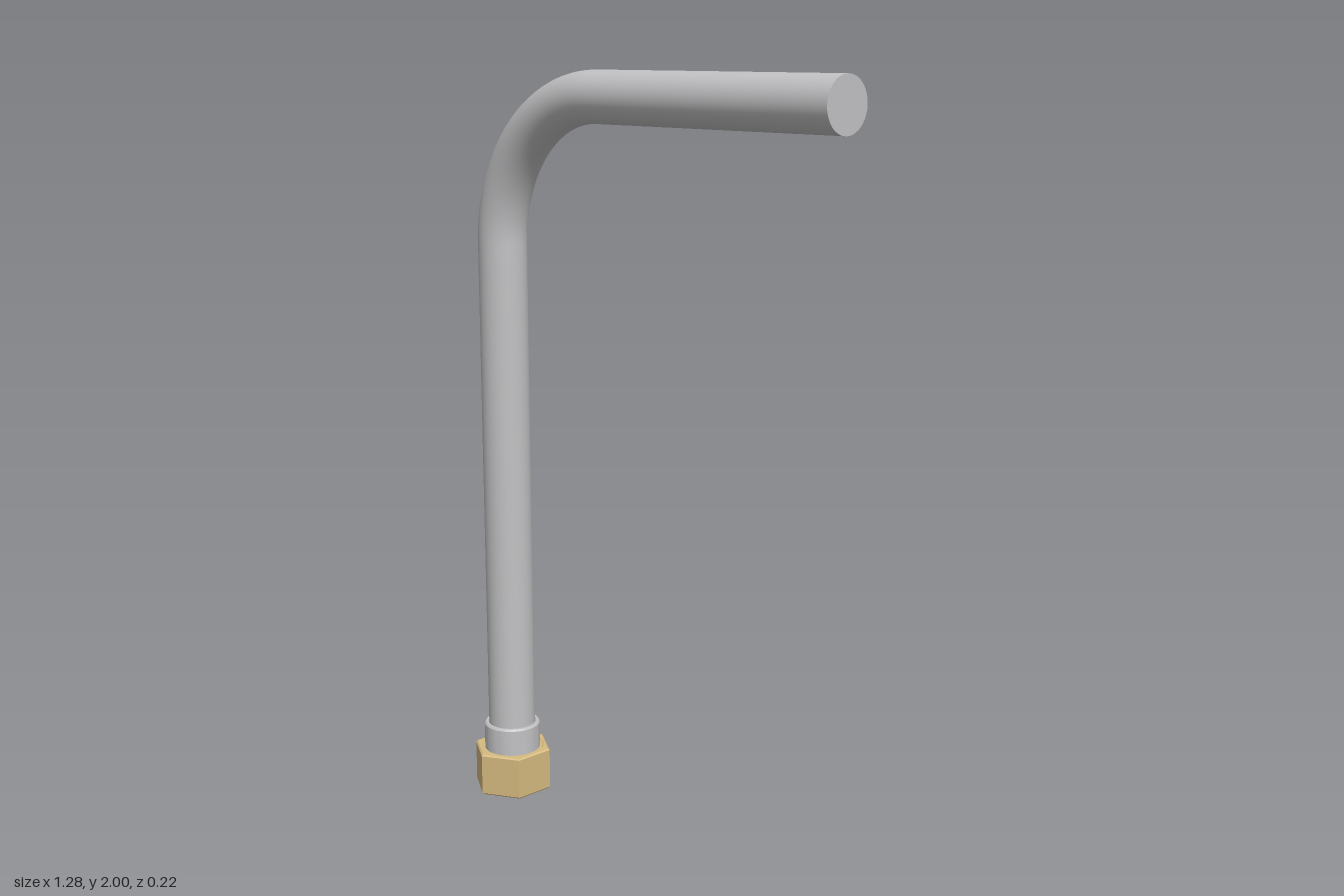
import * as THREE from 'three';
import { toCreasedNormals } from 'three/addons/utils/BufferGeometryUtils.js';

export function createModel() {
  const steel = new THREE.MeshStandardMaterial({ color: 0xc2c2c4 });
  steel.name = 'steel';
  const brass = new THREE.MeshStandardMaterial({ color: 0xd6ba80 });
  brass.name = 'brass';
  const brassInside = brass.clone();
  brassInside.name = 'brassInside';
  brassInside.side = THREE.DoubleSide;

  const model = new THREE.Group();
  model.name = 'bentPipe';
  const add = (parent, name, geometry, material) => {
    const mesh = new THREE.Mesh(geometry, material);
    mesh.name = name;
    parent.add(mesh);
    return mesh;
  };
  const lathe = (points, sides = 48) => toCreasedNormals(
    new THREE.LatheGeometry(points.map(([r, y]) => new THREE.Vector2(r, y)), sides), 0.5);

  // Everything is built around the upright axis; the arm swings slightly forward
  const fitting = new THREE.Group();
  fitting.name = 'fitting';
  fitting.position.x = -0.545;
  model.add(fitting);

  const r = 0.065, bend = 0.385, armY = 1.935, bendY = armY - bend, armEnd = 1.185;
  const pipe = new THREE.Group();
  pipe.name = 'pipe';
  pipe.rotation.y = -0.01;
  fitting.add(pipe);

  // Upright, quarter bend and horizontal arm
  const low = 0.1;
  add(pipe, 'upright', new THREE.CylinderGeometry(r, r, bendY - low, 40, 1, true), steel)
    .position.y = (bendY + low) / 2;
  const elbow = add(pipe, 'elbow', new THREE.TorusGeometry(bend, r, 40, 32, Math.PI / 2), steel);
  elbow.rotation.z = Math.PI / 2;
  elbow.position.set(bend, bendY, 0);
  const arm = add(pipe, 'arm', new THREE.CylinderGeometry(r, r, armEnd - bend, 40), steel);
  arm.rotation.z = -Math.PI / 2;
  arm.position.set((armEnd + bend) / 2, armY, 0);

  // Collar sleeve between pipe and nut
  add(fitting, 'collar', lathe([
    [0, 0.09], [0.078, 0.09], [0.078, 0.19], [0.074, 0.195], [0.067, 0.195], [0.064, 0.188],
  ]), steel);

  // Hexagonal nut with a bored centre
  const hex = new THREE.Shape();
  for (let i = 0; i < 6; i++) {
    const a = Math.PI / 2 + i * Math.PI / 3;
    hex[i ? 'lineTo' : 'moveTo'](0.112 * Math.cos(a), 0.112 * Math.sin(a));
  }
  hex.closePath();
  hex.holes.push(new THREE.Path().absarc(0, 0, 0.084, 0, Math.PI * 2, true));
  const b = 0.004;
  const nut = new THREE.ExtrudeGeometry(hex, {
    depth: 0.12 - 2 * b, bevelSize: b, bevelThickness: b, bevelOffset: -b, bevelSegments: 1, curveSegments: 24,
  });
  nut.translate(0, 0, b).rotateX(-Math.PI / 2);
  add(fitting, 'nut', nut, brass);

  // Thread ridges inside the nut, closed off at the top
  const thread = [[0.088, 0.001]];
  for (let i = 0; i < 5; i++) thread.push([0.076, 0.012 + i * 0.019], [0.083, 0.0215 + i * 0.019]);
  thread.push([0.086, 0.118], [0.07, 0.118]);
  add(fitting, 'thread', lathe(thread), brassInside);

  return model;
}
